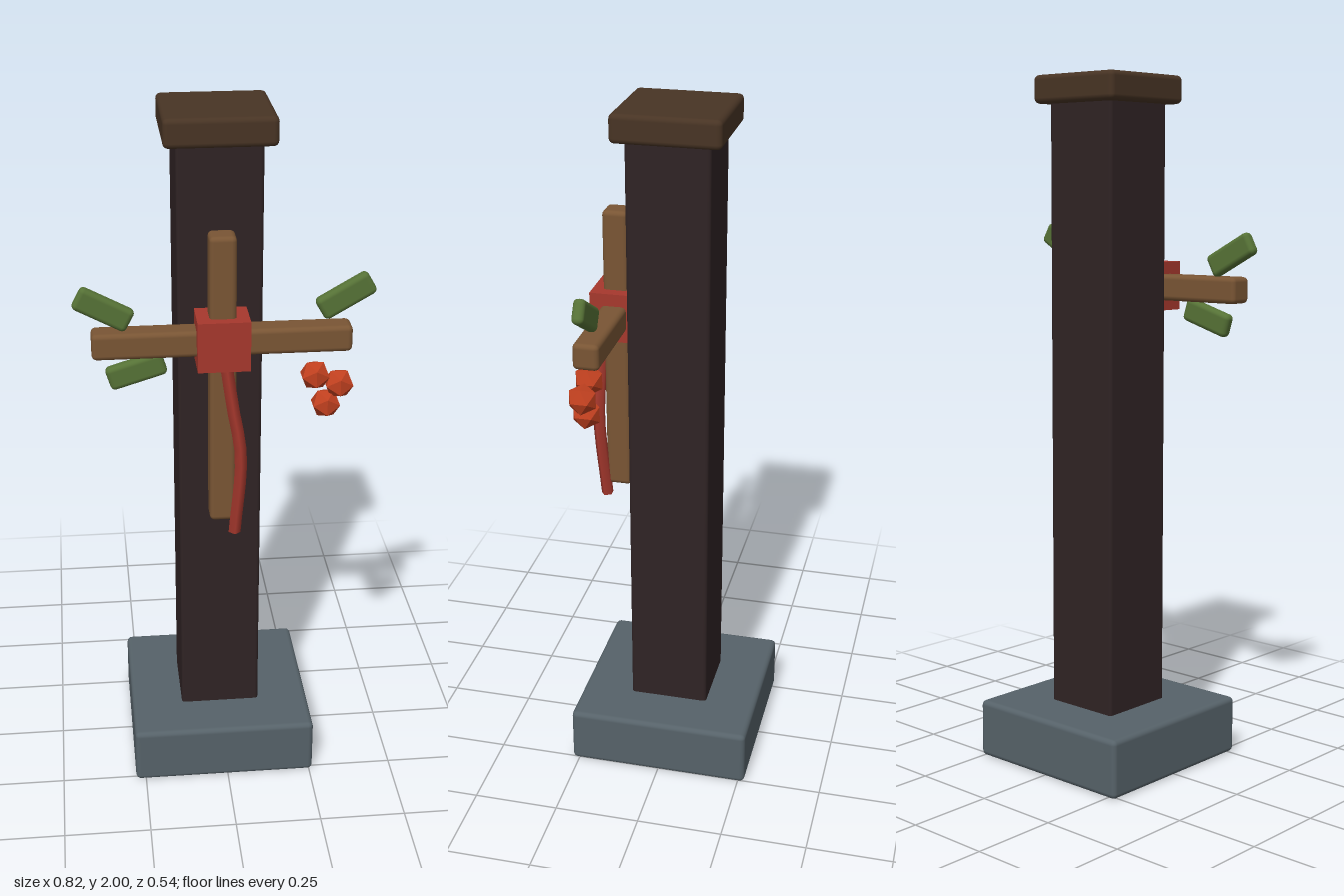
import * as THREE from 'three';
import { RoundedBoxGeometry } from 'three/addons/geometries/RoundedBoxGeometry.js';

const paint = (name, color, flatShading = false) => {
  const m = new THREE.MeshStandardMaterial({ color, flatShading });
  m.name = name;
  return m;
};

export function createModel() {
  const group = new THREE.Group();
  const stone = paint('stone', 0x566269);
  const darkWood = paint('darkWood', 0x2f2324);
  const capWood = paint('capWood', 0x483424);
  const wood = paint('wood', 0x795534);
  const red = paint('redCloth', 0xa6382d);
  const green = paint('leafGreen', 0x567236);
  const berryRed = paint('berryRed', 0xc0401f, true);

  const add = (name, geometry, material, x, y, z, tilt = 0) => {
    const mesh = new THREE.Mesh(geometry, material);
    mesh.name = name;
    mesh.position.set(x, y, z);
    mesh.rotation.z = tilt;
    group.add(mesh);
    return mesh;
  };
  const block = (w, h, d, r) => new RoundedBoxGeometry(w, h, d, 2, r);

  // Post on its stone foot
  const cx = -0.01;
  add('base', block(0.54, 0.17, 0.54, 0.015), stone, cx, 0.085, 0);
  add('post', block(0.235, 1.79, 0.235, 0.01), darkWood, cx, 1.035, 0);
  add('cap', block(0.304, 0.08, 0.304, 0.015), capWood, cx, 1.96, 0);

  // Wooden cross tied to the front of the post
  add('uprightStick', block(0.074, 0.845, 0.074, 0.014), wood, cx, 1.277, 0.17);
  add('crossStick', block(0.71, 0.075, 0.074, 0.014), wood, cx, 1.398, 0.168);
  add('binding', new THREE.BoxGeometry(0.144, 0.142, 0.144), red, cx, 1.4, 0.164);

  // Hanging ribbon
  const ribbonPath = new THREE.CatmullRomCurve3([
    new THREE.Vector3(-0.006, 1.36, 0.217),
    new THREE.Vector3(0.014, 1.22, 0.221),
    new THREE.Vector3(0.037, 1.07, 0.223),
    new THREE.Vector3(0.022, 0.82, 0.207),
  ]);
  const ribbonMesh = add('ribbon', new THREE.TubeGeometry(ribbonPath, 10, 0.018, 5), red, 0, 0, 0);
  // Close the lower end of the ribbon
  const end = new THREE.Mesh(new THREE.CircleGeometry(0.017, 5), red);
  end.name = 'ribbonEnd';
  end.position.set(0.022, 0.82, 0.207);
  end.rotation.x = Math.PI / 2;
  ribbonMesh.add(end);

  // Leaves around the arms
  [[-0.33, 1.497, -28], [0.327, 1.513, 30], [-0.245, 1.316, 17]].forEach(([x, y, deg]) =>
    add('leaf', block(0.162, 0.068, 0.034, 0.014), green, x, y, 0.168, THREE.MathUtils.degToRad(deg)));

  // Berry cluster
  [[0.245, 1.29], [0.312, 1.262], [0.277, 1.204]].forEach(([x, y]) =>
    add('berry', new THREE.IcosahedronGeometry(0.044, 0), berryRed, x, y, 0.188));

  return group;
}
